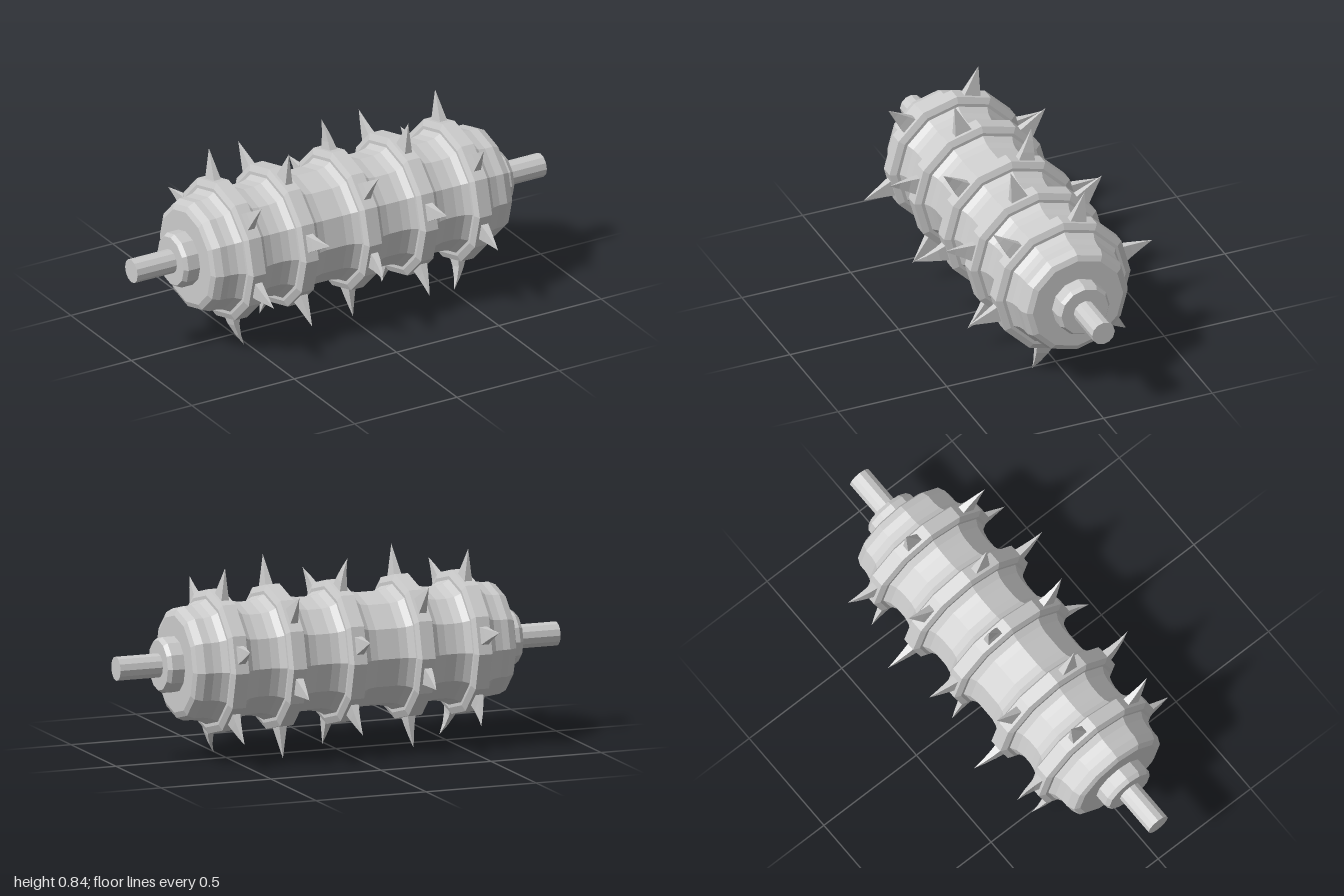
import * as THREE from 'three';

const SIDES = 12;
const CENTER_Y = 0.418;
const RING_X = [-0.555, -0.297, 0.012, 0.287, 0.55];
// sideways bend of each spike tip, one row per ring
const BENDS = [
  [0.01, 0.005, 0.04, 0.02, -0.018, 0.0],
  [0.0, 0.02, 0.0, -0.01, 0.012, 0.0],
  [0.015, -0.03, 0.005, -0.01, 0.005, -0.018],
  [0.0, 0.008, -0.01, 0.0, 0.005, 0.005],
  [-0.01, -0.005, -0.04, -0.01, 0.012, 0.0],
];

const material = new THREE.MeshStandardMaterial({ color: 0xcccccc, flatShading: true });

function mesh(name, geometry) {
  const m = new THREE.Mesh(geometry, material);
  m.name = name;
  return m;
}

// Revolve [x, radius] pairs around the x axis
function turned(name, profile) {
  const points = profile.map(([x, r]) => new THREE.Vector2(r, x));
  const geometry = new THREE.LatheGeometry(points, SIDES);
  geometry.rotateZ(-Math.PI / 2);
  return mesh(name, geometry);
}

// Four-sided horn standing on a ring facet, tip bent along the axis
function spikeGeometry(bend) {
  const base = 0.285, tip = 0.433, height = tip - base;
  const g = new THREE.CylinderGeometry(0, Math.SQRT2, height, 4, 3, true, Math.PI / 4);
  const p = g.attributes.position;
  for (let i = 0; i < p.count; i++) {
    const t = p.getY(i) / height + 0.5;
    p.setXYZ(i, p.getX(i) * 0.019 + bend * t * t, base + t * height, p.getZ(i) * 0.042);
  }
  g.computeVertexNormals();
  return g;
}

export function createModel() {
  const model = new THREE.Group();
  model.name = 'spikedRoller';
  const roller = new THREE.Group();
  roller.name = 'roller';
  roller.position.y = CENTER_Y;
  model.add(roller);

  // Drum with rounded shoulders, flaring up to each ring
  const profile = [[-0.735, 0], [-0.735, 0.208], [-0.724, 0.232], [-0.692, 0.246]];
  for (const x of RING_X) {
    profile.push([x - 0.105, 0.246], [x - 0.07, 0.253], [x - 0.04, 0.27],
      [x + 0.04, 0.27], [x + 0.07, 0.253], [x + 0.105, 0.246]);
  }
  profile.push([0.692, 0.246], [0.724, 0.232], [0.735, 0.208], [0.735, 0]);
  roller.add(turned('drum', profile));

  // Hubs and shaft stubs at both ends
  for (const [side, s] of [['left', 1], ['right', -1]]) {
    const hub = [[0.72, 0], [0.72, 0.12], [0.79, 0.12], [0.808, 0.108], [0.808, 0]];
    const shaft = [[0.79, 0], [0.79, 0.052], [1, 0.052], [1, 0]];
    const place = (pts) => (s > 0 ? pts : pts.map(([x, r]) => [-x, r]).reverse());
    roller.add(turned(side + 'Hub', place(hub)), turned(side + 'Shaft', place(shaft)));
  }

  // Bevelled rings, spikes staggered by half a step from ring to ring
  RING_X.forEach((x, i) => {
    const group = new THREE.Group();
    group.name = 'spikedRing' + (i + 1);
    group.position.x = x;
    group.add(turned('ring', [[-0.042, 0.25], [-0.042, 0.283], [-0.03, 0.31],
      [0.03, 0.31], [0.042, 0.283], [0.042, 0.25]]));
    const start = i % 2 === 0 ? 45 : 75;
    BENDS[i].forEach((bend, k) => {
      const spike = mesh('spike', spikeGeometry(bend));
      spike.rotation.x = THREE.MathUtils.degToRad(90 - (start - k * 60));
      group.add(spike);
    });
    roller.add(group);
  });

  return model;
}
